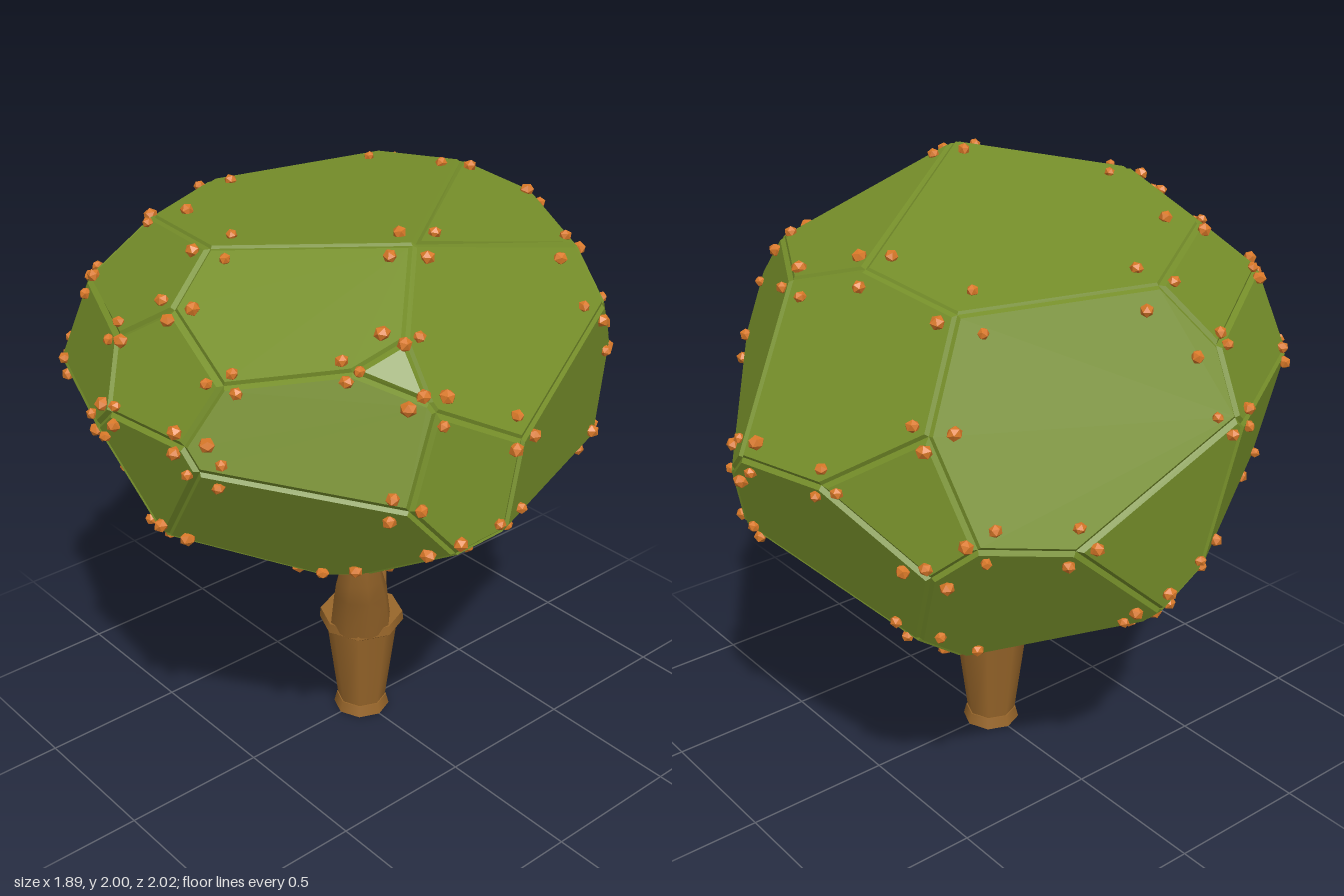
import * as THREE from 'three';
import { mergeGeometries } from 'three/addons/utils/BufferGeometryUtils.js';

// Corner landmarks of the faceted crown
const P = {
  A1: [0.51, 1.99, 0.25], A2: [0.03, 1.935, 0.6], A3: [-0.44, 1.875, 0.5], A4: [-0.7, 1.84, 0.05],
  A5: [-0.55, 1.846, -0.56], A6: [-0.17, 1.893, -0.6], A7: [0.03, 1.82, -0.72], A8: [0.47, 1.8, -0.49],
  B1: [0.11, 1.82, 0.81], B2: [0.43, 1.72, 0.84], B3: [-0.07, 1.7, 0.88], B4: [-0.5, 1.7, 0.7],
  B5: [0.7, 1.83, 0.46], B6: [0.84, 1.68, 0.49], B7: [0.7, 1.755, 0.57],
  C1: [0.92, 1.53, 0.2], C2: [0.87, 1.4, 0.55], C3: [0.6, 1.64, -0.48], C4: [0.53, 1.42, -0.63],
  D1: [0.92, 1.25, 0.24], D2: [0.9, 1.22, 0.4], D3: [0.5, 1.1, -0.6], D4: [0.21, 0.965, -0.73],
  D5: [0.09, 0.885, -0.62], D6: [0.38, 0.98, -0.07],
  E1: [0.36, 1.54, 0.97], E2: [0.03, 1.54, 0.98], E3: [-0.03, 1.45, 0.99], E4: [-0.61, 1.42, 0.76], E5: [0.43, 1.44, 0.95],
  G1: [0.13, 1.15, 0.9], G2: [0.55, 1.03, 0.59], G3: [-0.6, 1.08, 0.61], G4: [-0.45, 1.0, 0.62],
  H1: [-0.83, 1.66, 0.19], H2: [-0.92, 1.44, 0.2], H3: [-0.88, 0.98, 0.15],
  K1: [-0.57, 0.87, 0.31], K2: [-0.18, 0.855, 0.2], L1: [-0.47, 0.735, -0.58], L2: [-0.65, 0.77, -0.3],
  M1: [0.11, 1.06, -0.94], P1: [-0.07, 1.36, -1.0], P2: [-0.61, 1.58, -0.74], P3: [-0.44, 1.375, -0.91],
  P4: [-0.82, 1.305, -0.69], P5: [-0.67, 1.14, -0.78], P6: [-0.9, 1.18, -0.45], Q: [-0.6, 0.88, -0.7],
};
// Each facet is the plane that best fits these corners
const FACETS = [
  'A1 A2 A3 A4 A5 A6', 'A1 A6 A7 A8', 'A2 A3 B4 B3 B1', 'A1 A2 B1 B2 B7 B5', 'B1 B2 E1 E2 B3',
  'B4 B3 E2 E3 E4', 'E2 E1 E5 G1 E3', 'B2 B7 B6 C2 E5 E1', 'B5 B7 B6', 'E5 C2 D2 G2 G1', 'E3 E4 G3 G4 G1',
  'A3 A4 H1 B4', 'B4 H1 H2 E4', 'E4 H2 H3 G3', 'G3 G4 K1 H3', 'A1 B5 B6 C1 C3 A8',
  'C1 B6 C2 D2 D1', 'C1 C3 C4 D3 D1', 'A7 A8 C3 C4 P1', 'A5 A6 A7 P1 P3 P2', 'C4 D3 D4 M1 P1',
  'D1 D2 G2 D6 D5 D4 D3', 'G1 G2 K2 K1 G4', 'D6 D5 L1', 'K2 L1 L2 K1', 'P1 P3 P5 Q M1',
  'M1 D4 D5 L1 Q', 'P2 P3 P5 P4', 'A4 A5 P2 P4 P6 H2 H1', 'P6 H2 H3', 'P4 P6 L2 Q P5',
];
const CENTRE = new THREE.Vector3(0, 1.37, 0);

const average = (pts) => pts.reduce((s, p) => s.add(p), new THREE.Vector3()).divideScalar(pts.length);

function fitPlane(names) {
  const pts = names.split(' ').map((k) => new THREE.Vector3(...P[k]));
  const mid = average(pts);
  const n = new THREE.Vector3();
  pts.forEach((p, i) => {
    const q = pts[(i + 1) % pts.length];
    n.add(p.clone().sub(mid).cross(q.clone().sub(mid)));
  });
  n.normalize();
  if (n.dot(mid.clone().sub(CENTRE)) < 0) n.negate();
  return new THREE.Plane(n, -n.dot(mid));
}

// Keep the part of a polygon behind a plane
function clip(poly, plane) {
  const out = [];
  poly.forEach((a, i) => {
    const b = poly[(i + 1) % poly.length];
    const da = plane.distanceToPoint(a), db = plane.distanceToPoint(b);
    if (da <= 0) out.push(a);
    if ((da < 0 && db > 0) || (da > 0 && db < 0)) out.push(a.clone().lerp(b, da / (da - db)));
  });
  return out;
}

function crownPolygons() {
  const planes = FACETS.map(fitPlane);
  return planes.map((pl) => {
    const n = pl.normal;
    const u = new THREE.Vector3(0.31, 0.52, 0.8).cross(n).normalize();
    const v = n.clone().cross(u);
    const o = pl.coplanarPoint(new THREE.Vector3());
    let poly = [[-4, -4], [4, -4], [4, 4], [-4, 4]].map(([a, b]) => o.clone().addScaledVector(u, a).addScaledVector(v, b));
    for (const other of planes) if (other !== pl && poly.length) poly = clip(poly, other);
    poly = poly.filter((p, i) => p.distanceTo(poly[(i + 1) % poly.length]) > 1e-4);
    return { n, poly };
  }).filter((f) => f.poly.length > 2);
}

// Move a polygon's corners inward by w
function inset(poly, w, cap) {
  return poly.map((p, i) => {
    const m = poly.length;
    const e1 = p.clone().sub(poly[(i + m - 1) % m]).normalize();
    const e2 = poly[(i + 1) % m].clone().sub(p).normalize();
    const s = Math.max(e1.clone().cross(e2).length(), 0.15);
    return p.clone().add(e2.sub(e1).multiplyScalar(w / s).clampLength(0, cap));
  });
}

// Flat panels with sloping sides that meet in V grooves
function crownGeometry(faces) {
  const pos = [];
  const tri = (...vs) => vs.forEach((v) => pos.push(v.x, v.y, v.z));
  for (const { poly } of faces) {
    const top = inset(poly, 0.014, 0.03);
    const low = poly.map((p) => p.clone().sub(CENTRE).multiplyScalar(0.985).add(CENTRE));
    for (let i = 0; i < poly.length; i++) {
      const j = (i + 1) % poly.length;
      if (i > 0 && j > 0) tri(top[0], top[i], top[j]);
      tri(low[i], low[j], top[j]);
      tri(low[i], top[j], top[i]);
    }
  }
  const g = new THREE.BufferGeometry();
  g.setAttribute('position', new THREE.Float32BufferAttribute(pos, 3));
  g.computeVertexNormals();
  return g;
}

// One small chunky berry near each facet corner
function berryGeometry(faces) {
  const list = [];
  for (const { n, poly } of faces) {
    const mid = average(poly);
    poly.forEach((corner, i) => {
      if (corner.distanceTo(poly[(i + 1) % poly.length]) < 0.07) return;
      const k = list.length;
      const p = corner.clone().lerp(mid, 0.18 + 0.03 * Math.sin(k * 1.3)).addScaledVector(n, 0.008);
      const g = new THREE.IcosahedronGeometry(0.023 + 0.003 * Math.sin(k * 2.3), 0);
      g.scale(1, 0.85, 0.9).rotateX(k * 1.7).rotateY(k * 2.9);
      list.push(g.translate(p.x, p.y, p.z));
    });
  }
  return mergeGeometries(list);
}

// Tapering branch through rings [x, y, z, radius]
function limbGeometry(rings, sides = 8) {
  const pos = [], idx = [];
  rings.forEach(([x, y, z, r], k) => {
    for (let i = 0; i < sides; i++) {
      const a = ((i + 0.5) / sides) * Math.PI * 2;
      pos.push(x + r * Math.sin(a), y, z + r * Math.cos(a));
      if (k === 0) continue;
      const j = (i + 1) % sides, b = (k - 1) * sides, t = k * sides;
      idx.push(b + i, b + j, t + j, b + i, t + j, t + i);
    }
  });
  const g = new THREE.BufferGeometry();
  g.setAttribute('position', new THREE.Float32BufferAttribute(pos, 3));
  g.setIndex(idx);
  g.computeVertexNormals();
  return g;
}

export function createModel() {
  const leaf = new THREE.MeshStandardMaterial({ color: 0x768f2a });
  leaf.name = 'leafGreen';
  const wood = new THREE.MeshStandardMaterial({ color: 0x98662a });
  wood.name = 'woodBrown';
  const orange = new THREE.MeshStandardMaterial({ color: 0xd87828 });
  orange.name = 'berryOrange';

  const tree = new THREE.Group();
  tree.name = 'tree';
  const add = (name, geo, mat, y = 0) => {
    const m = new THREE.Mesh(geo, mat);
    m.name = name;
    m.position.y = y;
    tree.add(m);
  };

  const faces = crownPolygons();
  add('crown', crownGeometry(faces), leaf);
  add('berries', berryGeometry(faces), orange);

  // Trunk with foot and collar
  const ring = (top, bottom, h) => new THREE.CylinderGeometry(top, bottom, h, 8);
  add('trunkFoot', ring(0.09, 0.1, 0.04), wood, 0.02);
  add('trunk', ring(0.128, 0.085, 0.34), wood, 0.2);
  add('collarUnderside', ring(0.148, 0.134, 0.012), wood, 0.366);
  add('collar', ring(0.146, 0.15, 0.034), wood, 0.389);

  // Forked branches
  add('tallBranch', limbGeometry([
    [0.03, 0.38, 0.03, 0.112], [0.076, 0.55, 0.07, 0.096], [0.11, 0.64, 0.1, 0.08],
    [0.137, 0.82, 0.122, 0.05], [0.142, 0.93, 0.126, 0.04], [0.142, 0.95, 0.126, 0.03], [0.142, 0.951, 0.126, 0],
  ]), wood);
  add('shortBranch', limbGeometry([
    [-0.045, 0.38, -0.04, 0.096], [-0.087, 0.54, -0.09, 0.084], [-0.118, 0.61, -0.115, 0.071],
    [-0.147, 0.73, -0.127, 0.051], [-0.148, 0.83, -0.122, 0.04], [-0.148, 0.85, -0.122, 0.03], [-0.148, 0.851, -0.122, 0],
  ]), wood);
  return tree;
}
